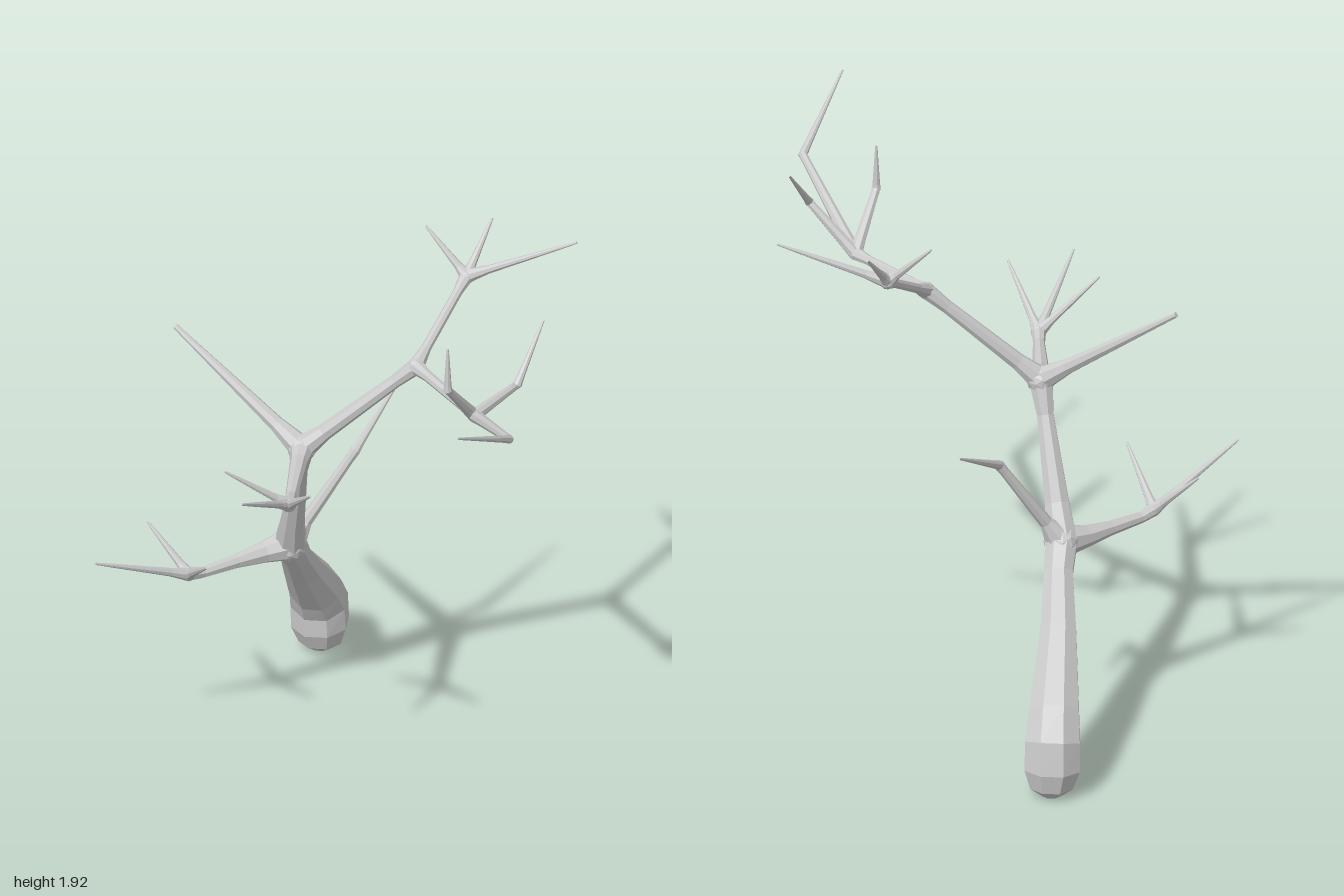
import * as THREE from 'three';

const SIDES = 8;
const bark = new THREE.MeshStandardMaterial({ color: 0xcccccc, flatShading: true });
const mix = (a, b, t) => a.map((v, i) => v + (b[i] - v) * t);

// Sweep an eight-sided section along rings given as [x, y, z, radius]
function limbGeometry(rings) {
  const pts = rings.map(r => new THREE.Vector3(r[0], r[1], r[2]));
  const pos = [], index = [];
  const last = pts.length - 1;
  const n = new THREE.Vector3(1, 0.13, 0.29);
  pts.forEach((p, i) => {
    const t = new THREE.Vector3();
    if (i > 0) t.add(p.clone().sub(pts[i - 1]).normalize());
    if (i < last) t.add(pts[i + 1].clone().sub(p).normalize());
    t.normalize();
    n.addScaledVector(t, -n.dot(t)).normalize();
    const b = t.clone().cross(n);
    for (let j = 0; j < SIDES; j++) {
      const a = (j / SIDES) * Math.PI * 2;
      const v = p.clone()
        .addScaledVector(n, Math.cos(a) * rings[i][3])
        .addScaledVector(b, Math.sin(a) * rings[i][3]);
      pos.push(v.x, v.y, v.z);
    }
  });
  for (let i = 0; i < last; i++) {
    for (let j = 0; j < SIDES; j++) {
      const k = (j + 1) % SIDES;
      const a = i * SIDES + j, b = i * SIDES + k;
      index.push(a, b, b + SIDES, a, b + SIDES, a + SIDES);
    }
  }
  // End caps
  for (let j = 1; j < SIDES - 1; j++) {
    const e = last * SIDES;
    index.push(0, j + 1, j, e, e + j, e + j + 1);
  }
  const g = new THREE.BufferGeometry();
  g.setAttribute('position', new THREE.Float32BufferAttribute(pos, 3));
  g.setIndex(index);
  g.computeVertexNormals();
  return g;
}

// Add rings near both ends of a span so that it flares into its junctions
function flared(from, to, rStart, rEnd) {
  const near = mix(from, to, 0.2), far = mix(from, to, 0.82);
  near[3] = rStart;
  far[3] = rEnd;
  return [from, near, far, to];
}

export function createModel() {
  const tree = new THREE.Group();
  tree.name = 'bareTree';

  const add = (name, geometry) => {
    const mesh = new THREE.Mesh(geometry, bark);
    mesh.name = name;
    tree.add(mesh);
    return mesh;
  };
  const limb = (name, rings) => add(name, limbGeometry(rings));
  const knot = (name, p, r) =>
    add(name, new THREE.IcosahedronGeometry(r, 1)).position.set(p[0], p[1], p[2]);

  // Junctions, each [x, y, z, radius]
  const fork = [-0.038, 0.72, -0.488, 0.06];
  const middle = [-0.12, 1.235, -0.265, 0.045];
  const upper = [0.205, 1.583, -0.035, 0.03];
  const front = [0.21, 1.58, 0.36, 0.025];
  const lowKnot = [-0.45, 0.72, -0.48, 0.024];
  const midKnot = [-0.355, 1.232, 0.05, 0.026];
  const topKnot = [0.51, 1.77, -0.21, 0.026];

  // Trunk with its rounded club foot
  limb('trunk', [
    [0.325, 0.004, -0.9, 0.034],
    [0.325, 0.038, -0.9, 0.08],
    [0.32, 0.105, -0.898, 0.104],
    [0.312, 0.2, -0.89, 0.103],
    [0.27, 0.285, -0.845, 0.093],
    [0.12, 0.49, -0.675, 0.067],
    [0.015, 0.635, -0.54, 0.054],
    fork,
    [-0.063, 0.84, -0.43, 0.045],
    [-0.105, 1.12, -0.31, 0.031],
    middle,
  ]);

  // Main branches between junctions
  limb('upperTrunk', flared(middle, upper, 0.03, 0.024));
  limb('frontBranch', flared(upper, front, 0.02, 0.018));
  limb('topLeftBranch', flared(upper, topKnot, 0.018, 0.017));
  limb('middleBranch', [
    middle, [-0.17, 1.228, -0.2, 0.031], [-0.31, 1.224, -0.01, 0.021], midKnot,
  ]);
  limb('lowBranch', [
    fork, [-0.14, 0.712, -0.495, 0.039], [-0.25, 0.71, -0.492, 0.026],
    [-0.39, 0.708, -0.485, 0.02], lowKnot,
  ]);
  limb('backBranch', flared(middle, [-0.37, 1.575, -0.71, 0.01], 0.028, 0.014));

  // Knots that fill the junctions
  [[fork, 0.063], [middle, 0.051], [upper, 0.031], [front, 0.024],
    [lowKnot, 0.025], [midKnot, 0.028], [topKnot, 0.028]]
    .forEach(([p, r]) => knot('branchKnot', p, r));

  // Bent branches: junction, elbow, tip
  const bent = (name, from, elbow, tip, r) => limb(name, [
    from,
    [...mix(from, elbow, 0.25).slice(0, 3), r * 1.4],
    [...mix(from, elbow, 0.92).slice(0, 3), r],
    [...elbow, r * 1.1],
    [...mix(elbow, tip, 0.1), r * 0.9],
    [...tip, 0.004],
  ]);
  bent('leftBranch', fork, [0.19, 1.055, -0.43], [0.49, 1.225, -0.59], 0.017);
  bent('longFrontTwig', front, [0.08, 1.75, 0.825], [-0.225, 1.922, 0.995], 0.015);
  bent('rightFrontTwig', front, [0.06, 1.76, 0.435], [0.06, 1.922, 0.435], 0.015);
  bent('leftFrontTwig', front, [0.3, 1.75, 0.505], [0.45, 1.922, 0.425], 0.015);

  // Three straight twigs fan out from each outer knot
  const fans = [
    [lowKnot, [[-0.83, 0.875, -0.47], [-0.525, 0.875, -0.635], [-0.51, 0.875, -0.25]]],
    [midKnot, [[-0.645, 1.4, 0.225], [-0.58, 1.4, -0.005], [-0.41, 1.4, 0.295]]],
    [topKnot, [[0.825, 1.922, 0.01], [0.43, 1.922, -0.355], [0.66, 1.922, -0.29]]],
  ];
  for (const [from, tips] of fans) {
    for (const tip of tips) limb('twig', flared(from, [...tip, 0.004], 0.015, 0.007));
  }
  return tree;
}
